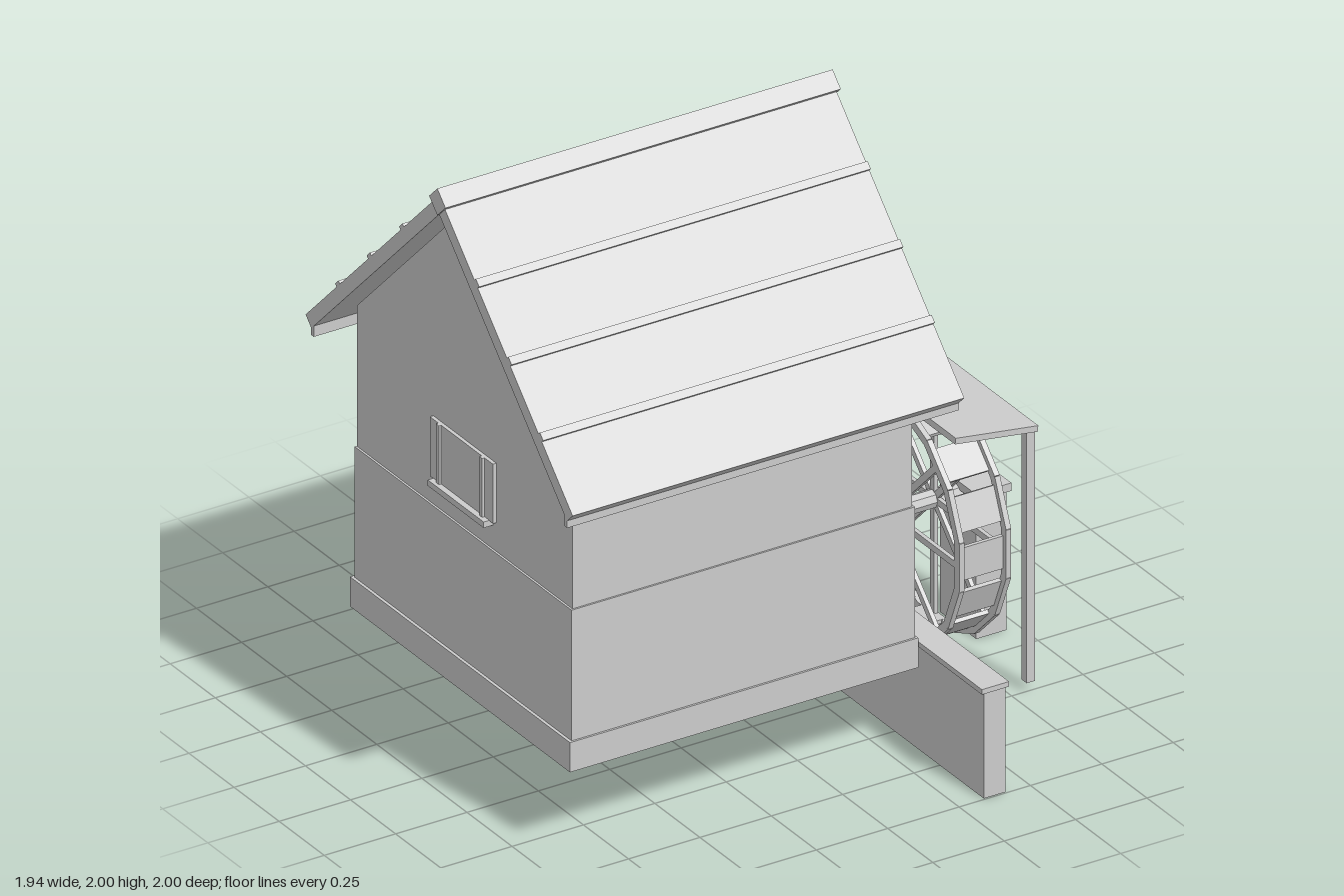
import * as THREE from 'three';

const grey = new THREE.MeshStandardMaterial({ color: 0xcccccc, flatShading: true });
const CZ = 0.045; // house and wheel centre line

function add(parent, name, geometry) {
  const mesh = new THREE.Mesh(geometry, grey);
  mesh.name = name;
  parent.add(mesh);
  return mesh;
}

function group(parent, name) {
  const g = new THREE.Group();
  g.name = name;
  parent.add(g);
  return g;
}

// Box given by its lower and upper limits on each axis
function box(parent, name, x0, x1, y0, y1, z0, z1) {
  const m = add(parent, name, new THREE.BoxGeometry(x1 - x0, y1 - y0, z1 - z0));
  m.position.set((x0 + x1) / 2, (y0 + y1) / 2, (z0 + z1) / 2);
  return m;
}

function buildHouse(root) {
  const house = group(root, 'house');
  box(house, 'plinth', -0.895, 0.325, 0.29, 0.39, -0.565, 0.655);
  box(house, 'lowerWalls', -0.885, 0.318, 0.39, 0.83, -0.555, 0.648);
  // Upper walls with both gables, extruded along x
  const s = new THREE.Shape([
    new THREE.Vector2(-0.597, 0.83), new THREE.Vector2(0.597, 0.83),
    new THREE.Vector2(0.597, 1.305), new THREE.Vector2(0, 1.902),
    new THREE.Vector2(-0.597, 1.305),
  ]);
  const walls = add(house, 'upperWalls', new THREE.ExtrudeGeometry(s, { depth: 1.19, bevelEnabled: false }));
  walls.rotation.y = Math.PI / 2;
  walls.position.set(-0.878, 0, CZ);
}

function buildRoof(root) {
  const roof = group(root, 'roof');
  roof.position.set(-0.282, 0, CZ);
  for (const turn of [0, Math.PI]) {
    const side = group(roof, 'roofSide');
    side.rotation.y = turn;
    const slope = group(side, 'roofSlope');
    slope.position.y = 1.975;
    slope.rotation.x = Math.PI / 4;
    box(slope, 'roofSlab', -0.686, 0.686, -0.045, 0, 0, 1.047);
    for (const d of [0.205, 0.385, 0.56]) {
      const z = d * Math.SQRT2;
      box(slope, 'roofBatten', -0.686, 0.686, -0.005, 0.011, z - 0.013, z + 0.013);
    }
    box(side, 'eavesBoard', -0.686, 0.686, 1.18, 1.235, 0.695, 0.71);
  }
  const cap = add(roof, 'ridgeCap', new THREE.BoxGeometry(1.385, 0.064, 0.064));
  cap.position.y = 1.955;
  cap.rotation.x = Math.PI / 4;
}

// Window built facing +z, origin at the bottom centre on the wall
function buildWindow(parent, name, width, height, bars) {
  const w = group(parent, name);
  const h = width / 2;
  box(w, 'pane', -h, h, 0.01, height, -0.01, 0.012);
  for (const x of bars) box(w, 'windowBar', x - 0.008, x + 0.008, 0.01, height, 0.005, 0.02);
  box(w, 'sill', -h + 0.02, h - 0.02, -0.008, 0.012, -0.01, 0.032);
  return w;
}

function buildOpenings(root) {
  const openings = [
    ['upperWindow', -0.005, 0.985, [-0.09, 0.0, 0.09]],
    ['hatchWindow', -0.48, 0.985, []],
    ['lowerWindow', -0.005, 0.525, [-0.09, 0.0, 0.09]],
  ];
  for (const [name, x, y, bars] of openings) {
    const w = buildWindow(root, name, 0.34, 0.205, bars);
    w.position.set(x, y, y > 0.83 ? -0.552 : -0.555);
    w.rotation.y = Math.PI;
  }
  const side = buildWindow(root, 'sideWindow', 0.35, 0.21, [-0.12, 0.12]);
  side.position.set(-0.878, 0.917, 0.045);
  side.rotation.y = -Math.PI / 2;

  // Plank door with a pair of slanting braces
  const door = group(root, 'door');
  door.position.set(-0.48, 0.39, -0.555);
  door.rotation.y = Math.PI;
  box(door, 'doorPanel', -0.19, 0.19, 0, 0.515, -0.01, 0.014);
  for (const s of [-1, 1]) {
    const brace = add(door, 'doorBrace', new THREE.BoxGeometry(0.024, 0.49, 0.02));
    brace.position.set(s * 0.068, 0.25, 0.018);
    brace.rotation.z = s * 0.25;
    box(door, 'doorStrip', s * 0.145 - 0.01, s * 0.145 + 0.01, 0.01, 0.505, 0.005, 0.024);
  }
}

function buildWheel(root) {
  const wheel = group(root, 'waterWheel');
  wheel.position.set(0.684, 0.455, CZ);
  const count = 16;
  for (let i = 0; i < count; i++) {
    const arm = group(wheel, 'wheelSegment');
    arm.rotation.x = (i / count) * Math.PI * 2;
    box(arm, 'paddle', -0.078, 0.078, 0.383, 0.396, -0.055, 0.055);
    for (const x of [-0.082, 0.082]) {
      box(arm, 'rim', x - 0.009, x + 0.009, 0.385, 0.413, -0.081, 0.081);
      if (i % 2 === 0) box(arm, 'spoke', x - 0.007, x + 0.007, 0, 0.39, -0.011, 0.011);
    }
  }
  const axle = add(root, 'axle', new THREE.CylinderGeometry(0.03, 0.03, 0.57, 8));
  axle.rotation.z = Math.PI / 2;
  axle.position.set(0.585, 0.455, CZ);

  // Outer bearing pillar
  box(root, 'pillar', 0.85, 0.957, 0, 0.47, -0.055, 0.145);
  box(root, 'pillarCap', 0.84, 0.967, 0.47, 0.497, -0.068, 0.155);
}

function buildCanopy(root) {
  const canopy = group(root, 'wheelCanopy');
  const plate = add(canopy, 'canopyBoard', new THREE.BoxGeometry(0.292, 0.02, 0.95));
  plate.position.set(0.685, 0.907, CZ);
  plate.rotation.z = -0.14;
  box(canopy, 'canopyBeam', 0.8, 0.83, 0.872, 0.89, -0.41, 0.505);
  for (const z of [-0.395, 0.49]) box(canopy, 'canopyPost', 0.8, 0.83, 0.03, 0.88, z - 0.014, z + 0.014);
}

export function createModel() {
  const root = new THREE.Group();
  root.name = 'watermill';
  buildHouse(root);
  buildRoof(root);
  buildOpenings(root);
  buildWheel(root);
  buildCanopy(root);
  // Mill race wall
  box(root, 'raceWall', 0.34, 0.415, 0, 0.36, -0.995, 0.995);
  box(root, 'raceCoping', 0.33, 0.425, 0.355, 0.372, -1, 1);
  // Stacked crates behind the house
  box(root, 'lowerCrate', -0.045, 0.075, 0.372, 0.4, -0.78, -0.675).rotation.y = 0.08;
  box(root, 'upperCrate', -0.06, 0.07, 0.4, 0.455, -0.778, -0.687);
  return root;
}
